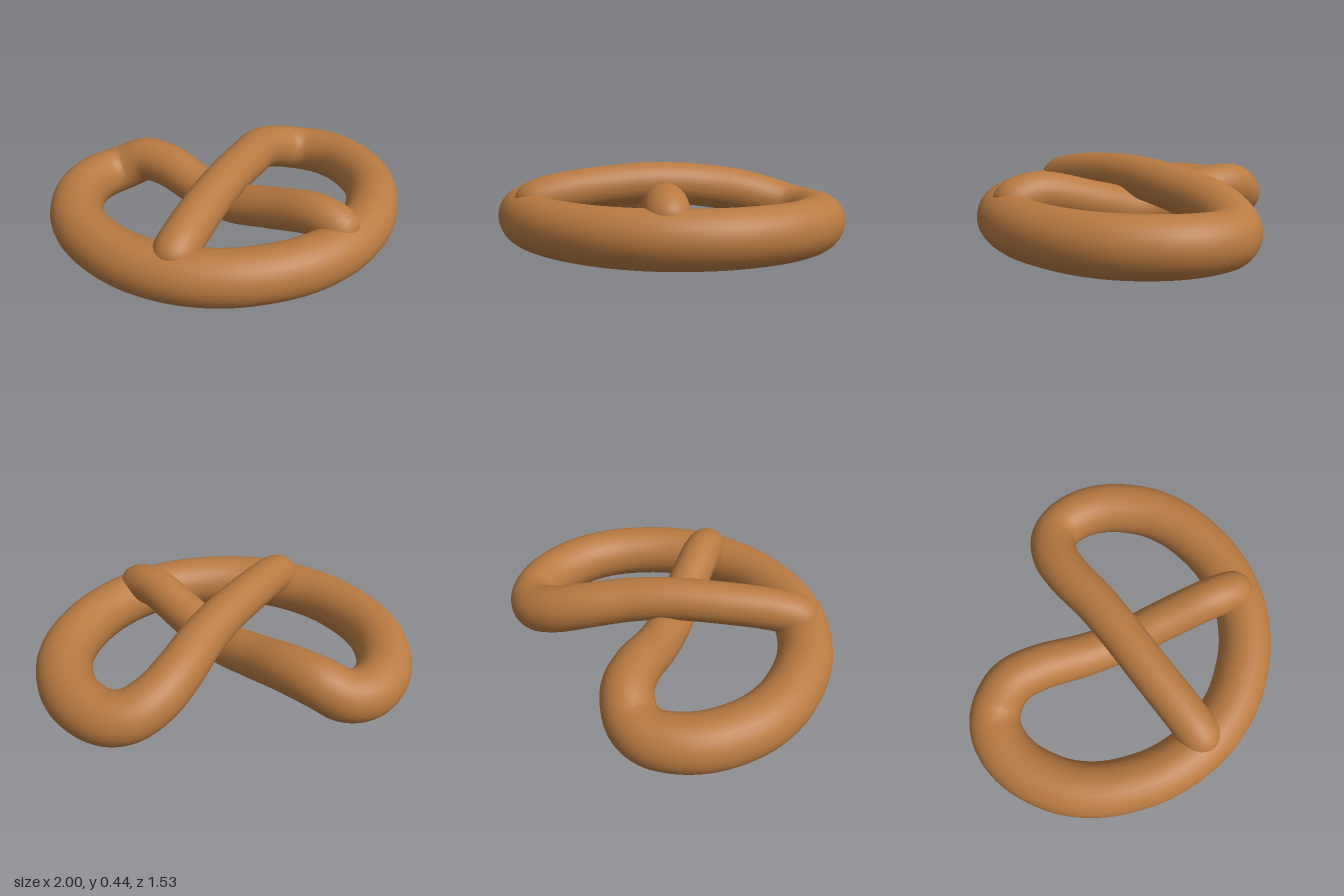
import * as THREE from 'three';
import { mergeVertices } from 'three/addons/utils/BufferGeometryUtils.js';

const SEGMENTS = 320, SIDES = 28;

// One dough rope: strand, lobe, front arc, other lobe, strand
function ropePath() {
  // Upper strand, from its end on the front arc over the crossing
  const upper = [
    [-0.475, 0.18, 0.535], [-0.42, 0.25, 0.46], [-0.35, 0.282, 0.37], [-0.16, 0.318, 0.12],
    [0, 0.325, -0.08], [0.14, 0.305, -0.26], [0.28, 0.262, -0.46], [0.4, 0.212, -0.58],
  ];
  // Lobe and half of the front arc, flat on the ground (x, z)
  const half = [
    [0.53, -0.633], [0.64, -0.612], [0.74, -0.53], [0.82, -0.39], [0.857, -0.17],
    [0.832, 0.0], [0.77, 0.15], [0.64, 0.34], [0.43, 0.51], [0.21, 0.597],
  ];
  // Lower strand, under the crossing and up onto the front arc
  const lower = [
    [-0.4, 0.225, -0.585], [-0.28, 0.225, -0.46], [-0.14, 0.175, -0.26], [0, 0.15, -0.08],
    [0.16, 0.205, 0.12], [0.34, 0.275, 0.36], [0.42, 0.25, 0.46], [0.475, 0.18, 0.535],
  ];
  const flat = (s) => ([x, z], i) => [s * x, i === 0 ? 0.165 : 0.147, z];
  const points = [
    ...upper, ...half.map(flat(1)), [0, 0.147, 0.619], ...half.map(flat(-1)).reverse(), ...lower,
  ];
  const curve = new THREE.CatmullRomCurve3(points.map((p) => new THREE.Vector3(...p)));
  curve.arcLengthDivisions = 1000;
  return curve;
}

// Thick at the front arc, thinner along the strands, rounded off at the ends
function ropeRadius(s) {
  const r = THREE.MathUtils.lerp(0.115, 0.146, THREE.MathUtils.smoothstep(s, 0.6, 2.3));
  return s < r ? r * Math.sqrt(Math.max(0, 1 - (1 - s / r) ** 2)) : r;
}

function ropeGeometry() {
  const curve = ropePath();
  const length = curve.getLength();
  const tube = new THREE.TubeGeometry(curve, SEGMENTS, 1, SIDES, false);
  const pos = tube.attributes.position;
  const v = new THREE.Vector3();
  for (let i = 0; i <= SEGMENTS; i++) {
    const u = i / SEGMENTS;
    const centre = curve.getPointAt(u);
    const radius = ropeRadius(Math.min(u, 1 - u) * length);
    for (let j = 0; j <= SIDES; j++) {
      const k = i * (SIDES + 1) + j;
      v.fromBufferAttribute(pos, k).sub(centre).multiplyScalar(radius).add(centre);
      pos.setXYZ(k, v.x, v.y, v.z);
    }
  }
  // Weld the seam for smooth shading all round
  tube.deleteAttribute('uv');
  tube.deleteAttribute('normal');
  const welded = mergeVertices(tube, 1e-5);
  welded.computeVertexNormals();
  return welded;
}

export function createModel() {
  const group = new THREE.Group();
  group.name = 'pretzel';
  const dough = new THREE.Mesh(ropeGeometry(), new THREE.MeshStandardMaterial({ color: 0xb87a42 }));
  dough.name = 'doughRope';
  group.add(dough);
  return group;
}
